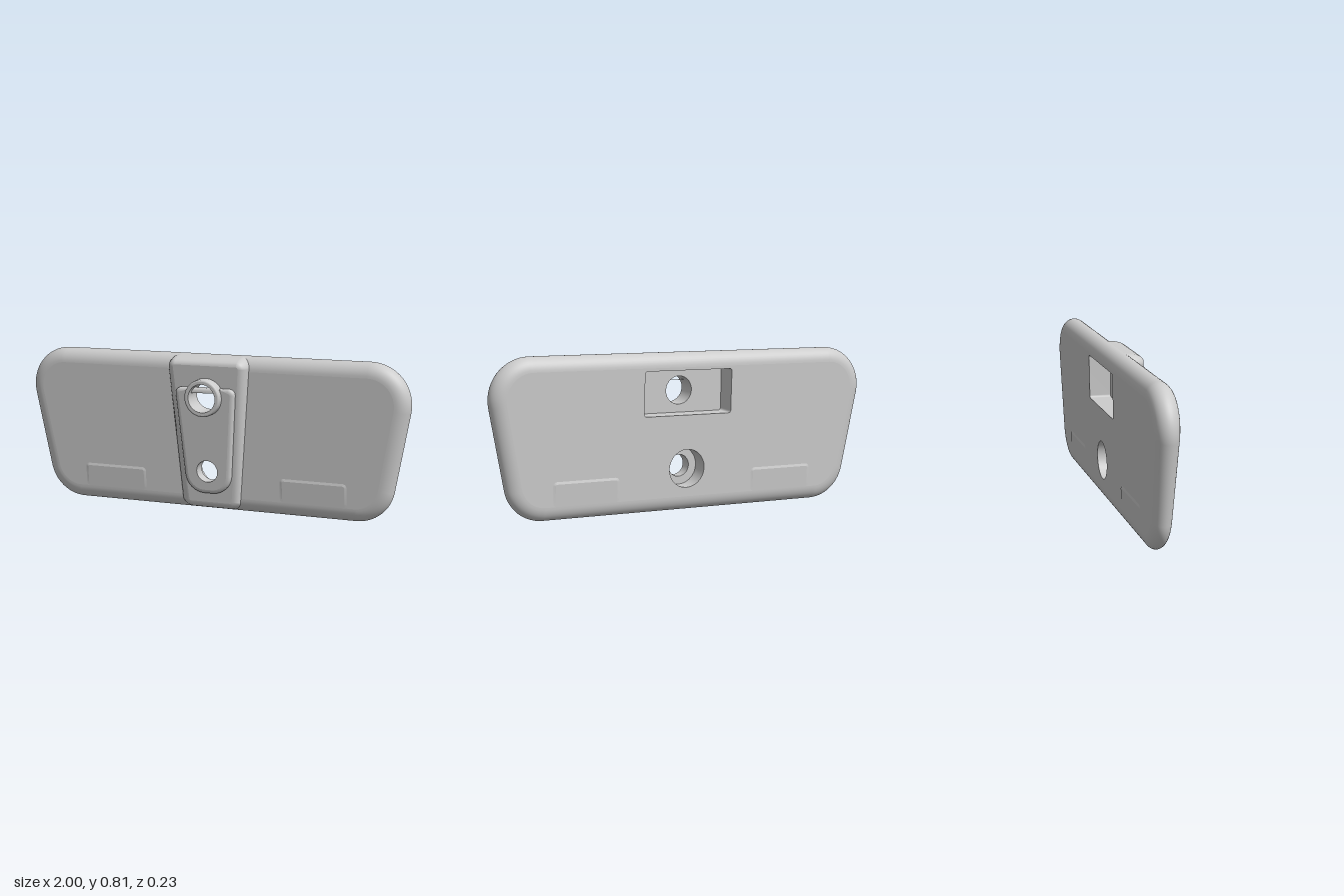
import * as THREE from 'three';

const material = new THREE.MeshStandardMaterial({ color: 0xcccccc });

// Rounded polygon: corners are [x, y, radius], counter-clockwise; returns a function of inset
const rounded = (corners, steps = 8) => (inset = 0) => {
  const n = corners.length, points = [];
  const normal = (a, b) => new THREE.Vector2(b[1] - a[1], a[0] - b[0]).normalize();
  corners.forEach((p, i) => {
    const n1 = normal(corners[(i + n - 1) % n], p);
    const n2 = normal(p, corners[(i + 1) % n]);
    const k = p[2] / (1 + n1.dot(n2));
    const cx = p[0] - (n1.x + n2.x) * k, cy = p[1] - (n1.y + n2.y) * k;
    const a1 = n1.angle();
    let a2 = n2.angle();
    if (a2 < a1) a2 += Math.PI * 2;
    for (let s = 0; s <= steps; s++) {
      const a = a1 + (a2 - a1) * s / steps;
      points.push(new THREE.Vector2(cx + (p[2] - inset) * Math.cos(a), cy + (p[2] - inset) * Math.sin(a)));
    }
  });
  return points;
};

const circle = (y, r, n = 28) => (inset = 0) => Array.from({ length: n }, (_, i) => {
  const a = i / n * Math.PI * 2;
  return new THREE.Vector2((r - inset) * Math.cos(a), y + (r - inset) * Math.sin(a));
});

// Wall through layers of [inset, z(y)]; rising z faces outward, falling z faces inward
function wall(outline, layers) {
  const pos = [], index = [], n = outline().length;
  layers.forEach(([inset, z], l) => {
    outline(inset).forEach((p, i) => {
      pos.push(p.x, p.y, z(p.y));
      if (l === layers.length - 1) return;
      const a = l * n + i, b = l * n + (i + 1) % n;
      index.push(a, b, b + n, a, b + n, a + n);
    });
  });
  const g = new THREE.BufferGeometry();
  g.setAttribute('position', new THREE.Float32BufferAttribute(pos, 3));
  g.setIndex(index);
  g.computeVertexNormals();
  return g;
}

// Flat or sloping face with holes, looking toward +z
function face(points, holes, z) {
  const shape = new THREE.Shape(points);
  shape.holes = holes.map(h => new THREE.Path(h));
  const g = new THREE.ShapeGeometry(shape), p = g.attributes.position;
  for (let i = 0; i < p.count; i++) p.setZ(i, z(p.getY(i)));
  g.computeVertexNormals();
  return g;
}

// Layers of an elliptical edge rolling from z0 to z1
const rollEdge = (size, z0, z1, steps = 6) => Array.from({ length: steps + 1 }, (_, i) => {
  const t = i / steps * Math.PI / 2;
  return [size * (1 - Math.cos(t)), y => z0(y) + (z1(y) - z0(y)) * Math.sin(t)];
});

export function createModel() {
  const model = new THREE.Group();
  const add = (name, g, parent = model) => {
    const m = new THREE.Mesh(g, material);
    m.name = name;
    parent.add(m);
    return m;
  };
  const flat = z => () => z;

  // Depth of each surface at height y
  const half = y => 0.054 + 0.02 * y;
  const plateFront = y => -0.052 + half(y);
  const plateBack = y => -0.052 - half(y);
  const saddleFront = y => 0.037 + 0.063 * y;
  const bracketFront = y => 0.064 + 0.058 * y;
  const upperFloor = flat(0), lowerFloor = flat(-0.01), ringFront = flat(0.109);

  const plate = rounded([[-0.894, -0.39, 0.19], [0.894, -0.39, 0.19], [1.042, 0.39, 0.2], [-1.042, 0.39, 0.2]], 14);
  const saddle = rounded([[-0.15, -0.385, 0.05], [0.15, -0.385, 0.05], [0.215, 0.388, 0.05], [-0.215, 0.388, 0.05]]);
  const bracket = rounded([[-0.113, -0.295, 0.1], [0.113, -0.295, 0.1], [0.157, 0.24, 0.03], [-0.157, 0.24, 0.03]]);
  const pocket = rounded([[-0.235, 0.085, 0.012], [0.235, 0.085, 0.012], [0.235, 0.305, 0.012], [-0.235, 0.305, 0.012]], 3);
  const upperHole = circle(0.195, 0.07), lowerHole = circle(-0.18, 0.055), counterbore = circle(-0.18, 0.095);
  const holes = [upperHole(), lowerHole()];

  // Plate with a full round edge
  const rim = [];
  for (let i = 0; i <= 20; i++) {
    const t = i / 20 * Math.PI;
    rim.push([0.07 * (1 - Math.sin(t)), y => -0.052 - half(y) * Math.cos(t)]);
  }
  add('plateRim', wall(plate, rim));
  add('plateFront', face(plate(0.07), holes, plateFront));
  const back = (points, cuts, z) => face(points, cuts, y => -z(y)).rotateY(Math.PI);
  add('plateBack', back(plate(0.07), [pocket(), counterbore()], plateBack));

  // Rear pocket and counterbore
  add('pocketWalls', wall(pocket, [[0, upperFloor], [0, plateBack]]));
  add('pocketFloor', back(pocket(), [upperHole()], upperFloor));
  add('counterboreWall', wall(counterbore, [[0, lowerFloor], [0, plateBack]]));
  add('counterboreFloor', back(counterbore(), [lowerHole()], lowerFloor));

  // Raised saddle wrapping over the front
  const saddleBase = y => -0.9 * Math.max(0, Math.abs(y) - 0.335);
  add('saddleEdge', wall(saddle, rollEdge(0.04, saddleBase, saddleFront)));
  add('saddleFace', face(saddle(0.04), holes, saddleFront));

  // Tapered bracket pad with a round foot
  add('bracketEdge', wall(bracket, [[0, y => saddleFront(y) - 0.01],
    ...rollEdge(0.02, y => bracketFront(y) - 0.014, bracketFront, 4)]));
  add('bracketFace', face(bracket(0.02), holes, bracketFront));

  // Collar around the upper hole
  const collar = circle(0.195, 0.092);
  add('collarEdge', wall(collar, [[0, flat(0.04)], ...rollEdge(0.008, flat(0.101), ringFront, 3)]));
  add('collarFace', face(collar(0.008), [upperHole()], ringFront));

  // Bores running through everything
  add('upperBore', wall(upperHole, [[0, ringFront], [0, upperFloor]]));
  add('lowerBore', wall(lowerHole, [[0, bracketFront], [0, lowerFloor]]));

  // Faint raised pads near the lower corners, both sides
  for (const s of [-1, 1]) {
    const xs = [0.36 * s, 0.7 * s].sort((a, b) => a - b);
    const pad = rounded([[xs[0], -0.32, 0.02], [xs[1], -0.32, 0.02], [xs[1], -0.2, 0.02], [xs[0], -0.2, 0.02]], 4);
    for (const side of ['front', 'back']) {
      const base = side === 'front' ? plateFront : y => -plateBack(y);
      const top = y => base(y) + 0.004 * (y + 0.32) / 0.12;
      const group = new THREE.Group();
      group.name = side + 'Pad';
      add('padEdge', wall(pad, [[0, base], [0.012, top]]), group);
      add('padFace', face(pad(0.012), [], top), group);
      if (side === 'back') group.rotation.y = Math.PI;
      model.add(group);
    }
  }

  // Slight lean of the whole piece
  model.rotation.set(0, 0.011, 0.017);
  model.position.y = 0.406;
  const root = new THREE.Group();
  root.name = 'mountingPlate';
  root.add(model);
  return root;
}
